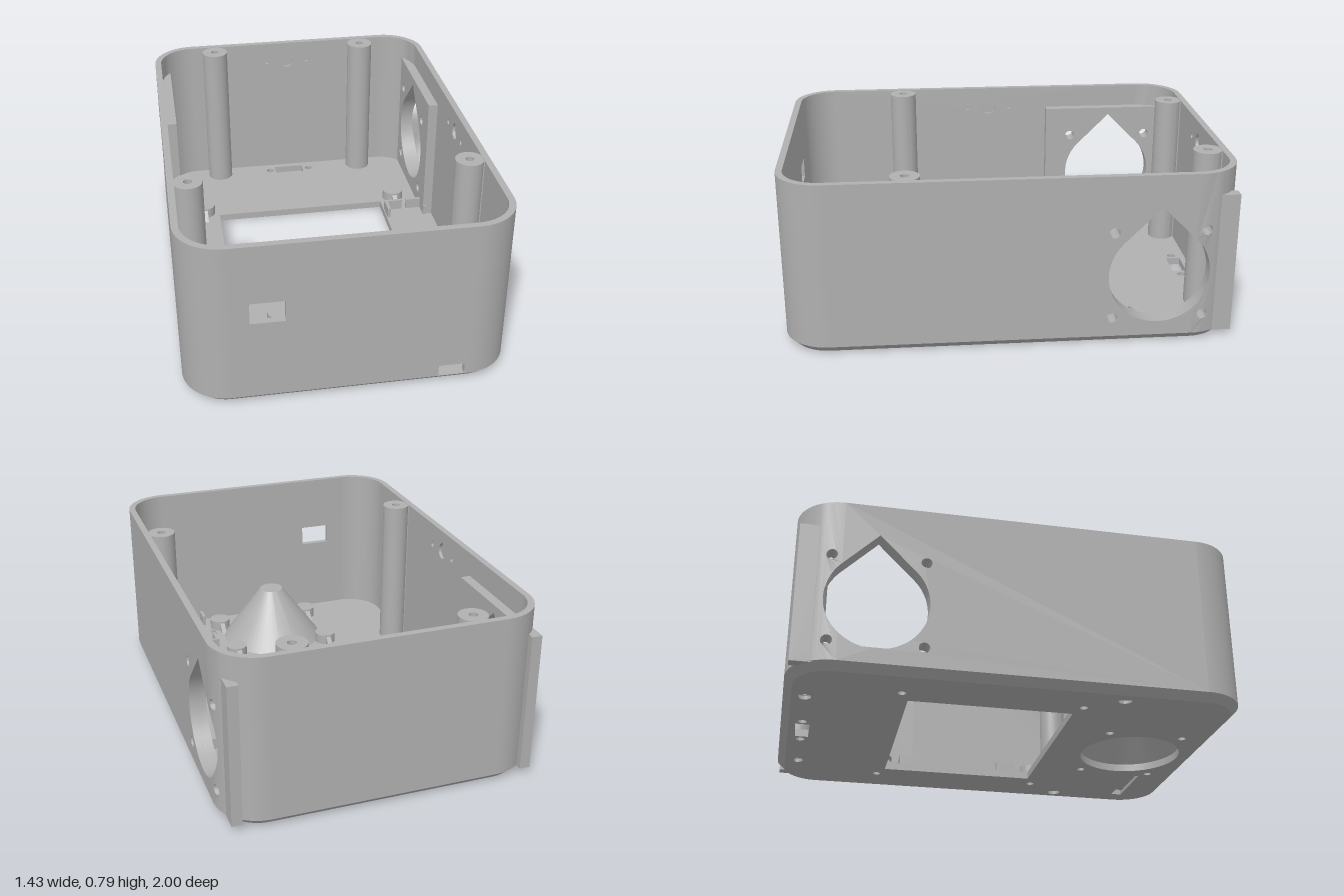
import * as THREE from 'three';
import { toCreasedNormals } from 'three/addons/utils/BufferGeometryUtils.js';

const HX = 0.715, HZ = 1, R = 0.2, T = 0.03, FLOOR = 0.035, TOP = 0.79;
const CX = HX - R, CZ = HZ - R;

export function createModel() {
  const group = new THREE.Group();
  const plastic = new THREE.MeshStandardMaterial({ color: 0xb0b0b0 });
  plastic.name = 'grey plastic';

  const add = (name, geo) => {
    const mesh = new THREE.Mesh(toCreasedNormals(geo, 0.6), plastic);
    mesh.name = name;
    group.add(mesh);
    return mesh;
  };
  const poly = (pts) => new THREE.Shape(pts.map(([x, y]) => new THREE.Vector2(x, y)));
  const rect = (x0, x1, y0, y1) => poly([[x0, y0], [x1, y0], [x1, y1], [x0, y1]]);
  const circle = (x, y, r) => new THREE.Shape().absarc(x, y, r, 0, Math.PI * 2);
  const arcPts = (x, y, r, a0, a1, n) => Array.from({ length: n + 1 }, (_, i) => {
    const a = a0 + (a1 - a0) * i / n;
    return [x + r * Math.cos(a), y + r * Math.sin(a)];
  });
  const teardrop = (x, y, r) =>
    poly([...arcPts(x, y, r, Math.PI * 0.75, Math.PI * 2.25, 36), [x, y + r * Math.SQRT2]]);
  const extrude = (shape, depth, holes = []) => {
    shape.holes.push(...holes);
    return new THREE.ExtrudeGeometry(shape, { depth, bevelEnabled: false, curveSegments: 20 });
  };
  // plan shapes use (x, -z) and rise along y
  const rise = (shape, y0, y1, holes) =>
    extrude(shape, y1 - y0, holes).rotateX(-Math.PI / 2).translate(0, y0, 0);
  // side shapes use (-z, y) and run along x
  const across = (shape, x0, x1, holes) =>
    extrude(shape, x1 - x0, holes).rotateY(Math.PI / 2).translate(x0, 0, 0);
  const box = (name, x0, x1, y0, y1, z0, z1) => add(name,
    new THREE.BoxGeometry(x1 - x0, y1 - y0, z1 - z0)
      .translate((x0 + x1) / 2, (y0 + y1) / 2, (z0 + z1) / 2));

  const posts = [[-0.395, -0.91], [0.395, -0.91], [-0.625, 0.45], [0.625, 0.45]];
  const standoffs = [];
  for (const s of [-1, 1]) {
    standoffs.push([s * 0.515, -0.505], [s * 0.515, 0.295], [s * 0.25, 0.495], [s * 0.25, 0.845]);
  }

  // floor in two layers, with a chamfered lower edge
  for (const lower of [true, false]) {
    const outline = new THREE.Shape();
    outline.absarc(CX, CZ, R, 0, Math.PI / 2);
    outline.absarc(-CX, CZ, R, Math.PI / 2, Math.PI);
    outline.absarc(-CX, -CZ, R, Math.PI, Math.PI * 1.5);
    outline.absarc(CX, -CZ, R, Math.PI * 1.5, Math.PI * 2);
    const holes = [
      rect(-0.44, 0.44, -0.265, 0.47),
      circle(0, -0.67, 0.237),
      rect(-0.08, 0.075, 0.87, 0.94),
      circle(-0.11, 0.905, 0.02), circle(0.11, 0.905, 0.02),
      ...posts.map(([x, z]) => circle(x, -z, lower ? 0.03 : 0.02)),
      ...standoffs.filter(([x, z]) => Math.hypot(x, z - 0.67) > 0.27).map(([x, z]) => circle(x, -z, 0.018)),
      ...(lower ? [rect(0.29, 0.59, -0.81, -0.76)]
        : [rect(0.29, 0.315, -0.81, -0.76), rect(0.565, 0.59, -0.81, -0.76)]),
    ];
    const geo = rise(outline, lower ? 0 : FLOOR / 2, lower ? FLOOR / 2 : FLOOR, holes);
    const p = geo.attributes.position;
    for (let i = 0; i < p.count; i++) {
      const x = p.getX(i), z = p.getZ(i);
      const cx = THREE.MathUtils.clamp(x, -CX, CX), cz = THREE.MathUtils.clamp(z, -CZ, CZ);
      if (Math.hypot(x - cx, z - cz) < R - 0.005) continue;
      const k = (R - (FLOOR - p.getY(i))) / R;
      p.setX(i, cx + (x - cx) * k);
      p.setZ(i, cz + (z - cz) * k);
    }
    add(lower ? 'floorLower' : 'floorUpper', geo);
  }

  // rounded corners
  [[CX, CZ, 30, 90], [-CX, CZ, 90, 150], [-CX, -CZ, 180, 270], [CX, -CZ, 270, 360]].forEach(([x, y, d0, d1]) => {
    const a0 = d0 * Math.PI / 180, a1 = d1 * Math.PI / 180;
    add('cornerWall', rise(poly([...arcPts(x, y, R, a0, a1, 20), ...arcPts(x, y, R - T, a1, a0, 20)]), FLOOR, TOP));
  });

  // front and back walls; the back has shallow inner pockets
  const pockets = () => [teardrop(0, 0.685, 0.036), circle(-0.11, 0.685, 0.013), circle(0.11, 0.685, 0.013)];
  add('frontWall', extrude(rect(-CX, CX, FLOOR, TOP), T,
    [rect(-0.43, -0.28, 0.415, 0.515), rect(0.38, 0.495, 0.037, 0.09)]).translate(0, 0, HZ - T));
  add('backWallOuter', extrude(rect(-CX, CX, FLOOR, TOP), T / 2).translate(0, 0, -HZ));
  add('backWallInner', extrude(rect(-CX, CX, FLOOR, TOP), T / 2, pockets()).translate(0, 0, -HZ + T / 2));

  // side walls with teardrop openings that run into the back corners
  const hu = 0.645, hv = 0.325, hr = 0.225, du = CZ - hu;
  const cut = -Math.acos(du / hr);
  const mainShape = () => poly([[-CZ, FLOOR], [CZ, FLOOR],
    ...arcPts(hu, hv, hr, cut, -Math.PI * 1.25, 36),
    [hu, hv + hr * Math.SQRT2], [CZ, hv + hr * Math.SQRT2 - du], [CZ, TOP], [-CZ, TOP]]);
  const steps = [0.8, 0.82, 0.84, 0.86, 0.88, 0.9];
  const stripShape = () => poly([...steps.map((u) => [u, FLOOR]), ...[...steps].reverse().map((u) => [u, TOP]),
    [CZ, hv + hr * Math.SQRT2 - du], ...arcPts(hu, hv, hr, Math.PI / 4, cut, 16)]);
  const screws = (us) => us.flatMap((u) => [circle(u, 0.53, 0.024), circle(u, 0.125, 0.024)]);

  for (const s of [-1, 1]) {
    const span = (a, b) => [Math.min(s * a, s * b), Math.max(s * a, s * b)];
    add('sideWallOuter', across(mainShape(), ...span(HX - T / 2, HX), screws([0.44])));
    add('sideWallInner', across(mainShape(), ...span(HX - T, HX - T / 2), [...screws([0.44]), ...pockets()]));

    const strip = across(stripShape(), ...span(HX - T, HX), screws([0.845]));
    const p = strip.attributes.position;
    for (let i = 0; i < p.count; i++) {
      const r = Math.abs(p.getX(i)) - CX, dz = Math.max(0, -p.getZ(i) - CZ);
      p.setX(i, s * (CX + Math.sqrt(r * r - dz * dz)));
    }
    add('sideWallBend', strip);

    // flat mounting board that pokes out through the back corner
    add('mountingBoard', across(rect(0.31, 0.988, 0.03, 0.68), ...span(0.638, 0.686),
      [teardrop(hu, hv, hr), ...screws([0.44, 0.845])]));
  }

  // tall hollow screw posts with webs to the wall
  for (const [x, z] of posts) {
    add('screwPost', rise(circle(x, -z, 0.065), FLOOR, TOP - 0.002, [circle(x, -z, 0.02)]));
    if (z < 0) box('postWeb', x - 0.035, x + 0.035, FLOOR, TOP - 0.003, -0.975, -0.95);
    else {
      const a = Math.sign(x) * 0.677;
      box('postWeb', a - 0.012, a + 0.012, FLOOR, TOP - 0.003, z - 0.035, z + 0.035);
    }
  }

  // short standoffs with sloped gussets
  for (const [x, z] of standoffs) {
    add('standoff', new THREE.CylinderGeometry(0.053, 0.053, 0.052, 32).translate(x, 0.06, z));
    add('standoffGusset', across(poly([[-z - 0.1, 0.034], [-z + 0.1, 0.034], [-z + 0.05, 0.08], [-z - 0.05, 0.08]]),
      x - 0.012, x + 0.012));
  }

  // hollow speaker cone
  const cone = [[0, 0.285], [0.045, 0.285], [0.237, FLOOR], [0.26, FLOOR], [0.06, 0.31], [0, 0.31]];
  add('speakerCone', new THREE.LatheGeometry(cone.map(([r, y]) => new THREE.Vector2(r, y)), 48).translate(0, 0, 0.67));

  // board-locating corner brackets: corner x, corner z, directions of the legs
  const w = 0.016, bTop = 0.088;
  const leg = (x, z, lx, lz) => box('cornerBracket', Math.min(x, x + lx), Math.max(x, x + lx), FLOOR, bTop,
    Math.min(z, z + lz), Math.max(z, z + lz));
  for (const [x, z, sx, sz] of [[0.445, -0.395, 1, 1], [0.655, -0.395, -1, 1], [0.445, 0.195, 1, -1],
    [0.655, 0.195, -1, -1], [0.32, 0.59, 1, 1], [0.56, 0.59, -1, 1]]) {
    leg(x, z, sx * 0.093, sz * w);
    leg(x, z, sx * w, sz * 0.093);
  }
  leg(0.32, 0.89, w, 0.085);
  leg(0.56, 0.89, -w, 0.085);

  return group;
}
